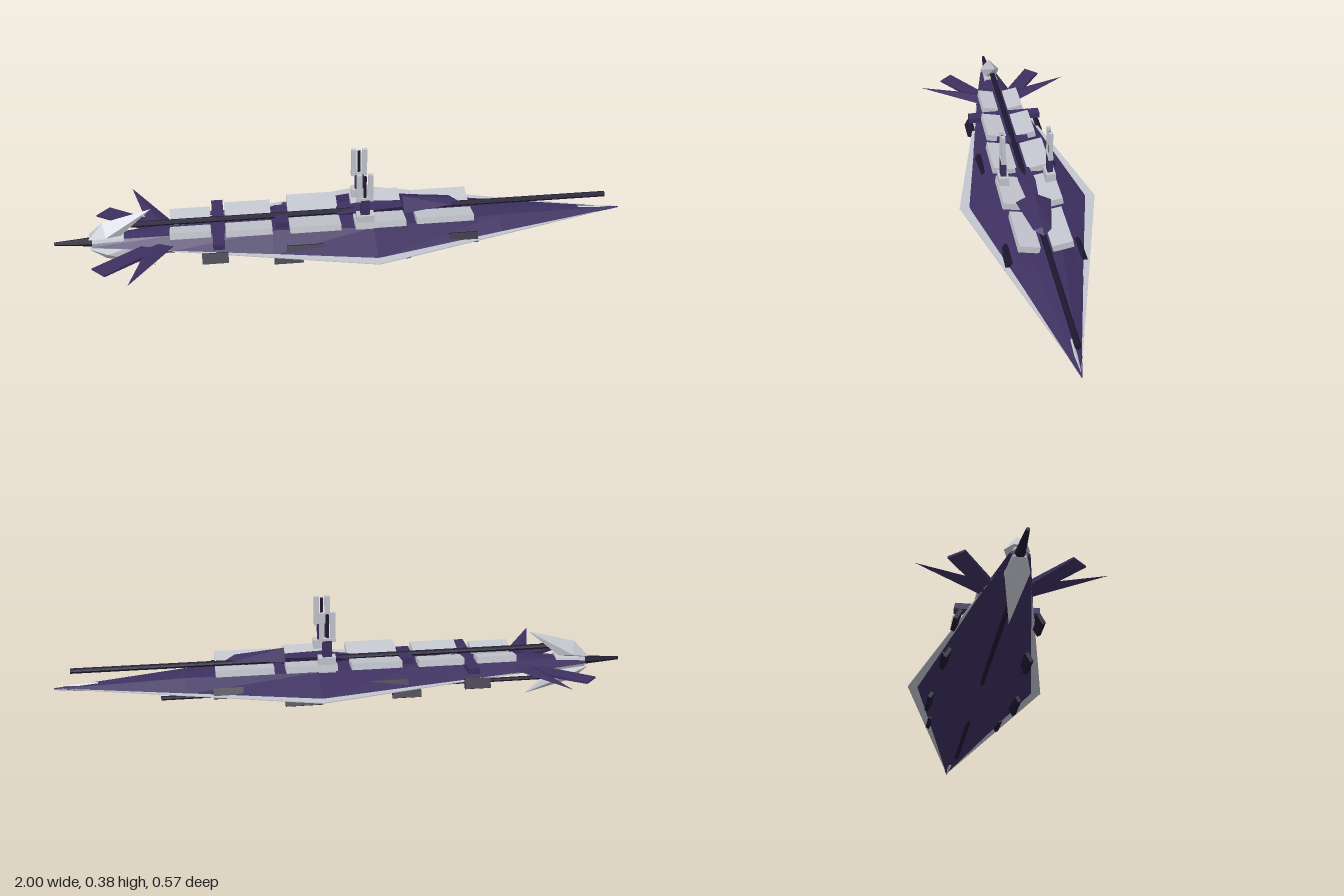
import * as THREE from 'three';
import { ConvexGeometry } from 'three/addons/geometries/ConvexGeometry.js';

export function createModel() {
  const ship = new THREE.Group();
  ship.name = 'ship';
  const paint = (color) => new THREE.MeshStandardMaterial({ color, flatShading: true, side: THREE.DoubleSide });
  const purple = paint(0x3d3060), dark = paint(0x1e1830), pale = paint(0xc4c6cf);

  function add(name, geometry, material, x = 0, y = 0, z = 0) {
    const mesh = new THREE.Mesh(geometry, material);
    mesh.name = name;
    mesh.position.set(x, y, z);
    ship.add(mesh);
    return mesh;
  }
  const box = (name, mat, size, pos) => add(name, new THREE.BoxGeometry(...size), mat, ...pos);
  const solid = (name, mat, points) =>
    add(name, new ConvexGeometry(points.map((p) => new THREE.Vector3(...p))), mat);
  // Round bar along x, from x0 (radius r0) to x1 (radius r1)
  function bar(name, mat, x0, x1, y, r0, r1 = r0, sides = 8) {
    const mesh = add(name, new THREE.CylinderGeometry(r1, r0, x1 - x0, sides), mat, (x0 + x1) / 2, y, 0);
    mesh.rotation.z = -Math.PI / 2;
    return mesh;
  }

  // Hull lofted through stations: x, half width, top, bottom
  const mid = 0.115;
  const stations = [
    [-0.87, 0.03, 0.132, 0.1], [-0.6, 0.085, 0.15, 0.083], [-0.25, 0.145, 0.164, 0.06],
    [0.1, 0.207, 0.168, 0.036], [0.55, 0.103, 0.153, 0.078], [1, 0.001, 0.118, 0.114],
  ];
  const ring = ([x, w, t, b]) => {
    const shoulder = mid + (t - mid) * 0.88;
    return [[x, b, 0], [x, mid, w], [x, shoulder, w * 0.42], [x, t, 0],
      [x, shoulder, -w * 0.42], [x, mid, -w]];
  };
  const tris = [];
  const rings = stations.map(ring);
  for (let i = 0; i < rings.length - 1; i++) {
    for (let j = 0; j < 6; j++) {
      const k = (j + 1) % 6;
      const a = rings[i][j], b = rings[i][k], c = rings[i + 1][k], d = rings[i + 1][j];
      tris.push(...a, ...d, ...c, ...a, ...c, ...b);
    }
  }
  for (let j = 1; j < 5; j++) tris.push(...rings[0][0], ...rings[0][j], ...rings[0][j + 1]);
  const hull = new THREE.BufferGeometry();
  hull.setAttribute('position', new THREE.Float32BufferAttribute(tris, 3));
  hull.computeVertexNormals();
  add('hull', hull, purple);

  // Thin pale rim plate around the waterline
  const rim = new THREE.Shape();
  rim.moveTo(-0.8, 0.04);
  rim.lineTo(0.1, 0.237);
  rim.lineTo(0.99, 0);
  rim.lineTo(0.1, -0.237);
  rim.lineTo(-0.8, -0.04);
  const plate = add('rimPlate', new THREE.ExtrudeGeometry(rim, { depth: 0.003, bevelEnabled: false }), pale, 0, mid + 0.0015, 0);
  plate.rotation.x = Math.PI / 2;

  // Nose tips and long barrels
  for (const y of [0.124, 0.108]) bar('noseTip', pale, 0.85, 0.985, y, 0.009, 0.001, 4);
  bar('upperBarrel', dark, -0.77, 0.94, 0.178, 0.01);
  bar('lowerBarrel', dark, -0.73, 0.64, 0.057, 0.008);

  // Bridge wedge on the spine
  solid('bridge', purple, [
    [0.21, 0.224, 0], [0.21, 0.193, 0.06], [0.21, 0.193, -0.06], [0.21, 0.18, 0.03], [0.21, 0.18, -0.03],
    [0.38, 0.204, 0], [0.38, 0.195, 0.03], [0.38, 0.195, -0.03], [0.41, 0.19, 0],
  ]);
  solid('bridgeTail', purple, [
    [-0.02, 0.18, 0.025], [-0.02, 0.18, -0.025], [0.08, 0.193, 0.03], [0.08, 0.193, -0.03],
    [0.22, 0.193, 0.02], [0.22, 0.193, -0.02], [0.22, 0.16, 0], [0, 0.16, 0],
  ]);

  // Straps crossing the deck between armour panels
  box('deckStrap', purple, [0.04, 0.02, 0.27], [-0.435, 0.155, 0]).scale.z = 1;
  box('deckStrap', purple, [0.045, 0.022, 0.11], [-0.215, 0.172, 0]);

  // Deck panels: x start, x end, outer z, centre height
  const panels = [
    [-0.6, -0.46, 0.077, 0.165], [-0.41, -0.25, 0.09, 0.168], [-0.19, -0.015, 0.103, 0.174],
    [0.035, 0.21, 0.103, 0.174], [0.25, 0.45, 0.09, 0.17],
  ];
  // Side pods: x, y, z, length
  const pods = [[-0.45, 0.107, 0.13, 0.09], [-0.14, 0.12, 0.135, 0.13], [0.41, 0.12, 0.125, 0.1], [0.155, 0.09, 0.152, 0.13], [-0.2, 0.09, 0.135, 0.1]];

  for (const s of [1, -1]) {
    for (const [x0, x1, zo, y] of panels) {
      const panel = box('deckPanel', pale, [x1 - x0, 0.023, zo - 0.02], [(x0 + x1) / 2, y, s * (zo + 0.02) / 2]);
      panel.rotation.x = -s * 0.19;
    }
    for (const [x, y, z, length] of pods) {
      const pod = box('sidePod', dark, [length, 0.036, 0.013], [x, y, s * z]);
      pod.rotation.x = -s * 0.5;
    }

    // Turret with twin upright prongs
    const z = s * 0.081;
    box('turretBase', pale, [0.06, 0.055, 0.034], [0.07, 0.191, z]);
    box('turretPost', purple, [0.032, 0.07, 0.019], [0.069, 0.242, z]);
    box('turretYoke', pale, [0.056, 0.014, 0.017], [0.068, 0.279, z]);
    box('turretCore', dark, [0.01, 0.09, 0.008], [0.068, 0.325, z]);
    for (const x of [0.049, 0.087]) box('turretProng', pale, [0.018, 0.1, 0.013], [x, 0.327, z]);

    // Swept tail fins
    solid('tailPaddle', purple, [
      [-0.865, 0.113, s * 0.155], [-0.82, 0.113, s * 0.2], [-0.865, 0.119, s * 0.155], [-0.82, 0.119, s * 0.2],
      [-0.7, 0.112, s * 0.06], [-0.64, 0.112, s * 0.08], [-0.7, 0.128, s * 0.06], [-0.64, 0.128, s * 0.08],
    ]);
    solid('tailSpike', purple, [
      [-0.74, 0.136, s * 0.286], [-0.68, 0.125, s * 0.07], [-0.59, 0.125, s * 0.07],
      [-0.64, 0.14, s * 0.07], [-0.64, 0.11, s * 0.07], [-0.69, 0.136, s * 0.19], [-0.68, 0.131, s * 0.18],
    ]);

    // Pale vertical blades raked forward, one above and one below
    const h = (d) => mid + 0.003 + s * d;
    solid('tailBlade', pale, [
      [-0.66, h(0.12), 0], [-0.83, h(0.075), 0], [-0.88, h(0.02), 0.02], [-0.88, h(0.02), -0.02],
      [-0.82, h(0.035), 0.038], [-0.82, h(0.035), -0.038], [-0.77, h(0.03), 0.02], [-0.77, h(0.03), -0.02],
      [-0.84, h(0.012), 0],
    ]);
  }

  // Engine collar and tail spike
  bar('engineCollar', pale, -0.87, -0.76, 0.117, 0.024, 0.034);
  bar('tailCone', dark, -1, -0.85, 0.117, 0.006, 0.018);

  return ship;
}
